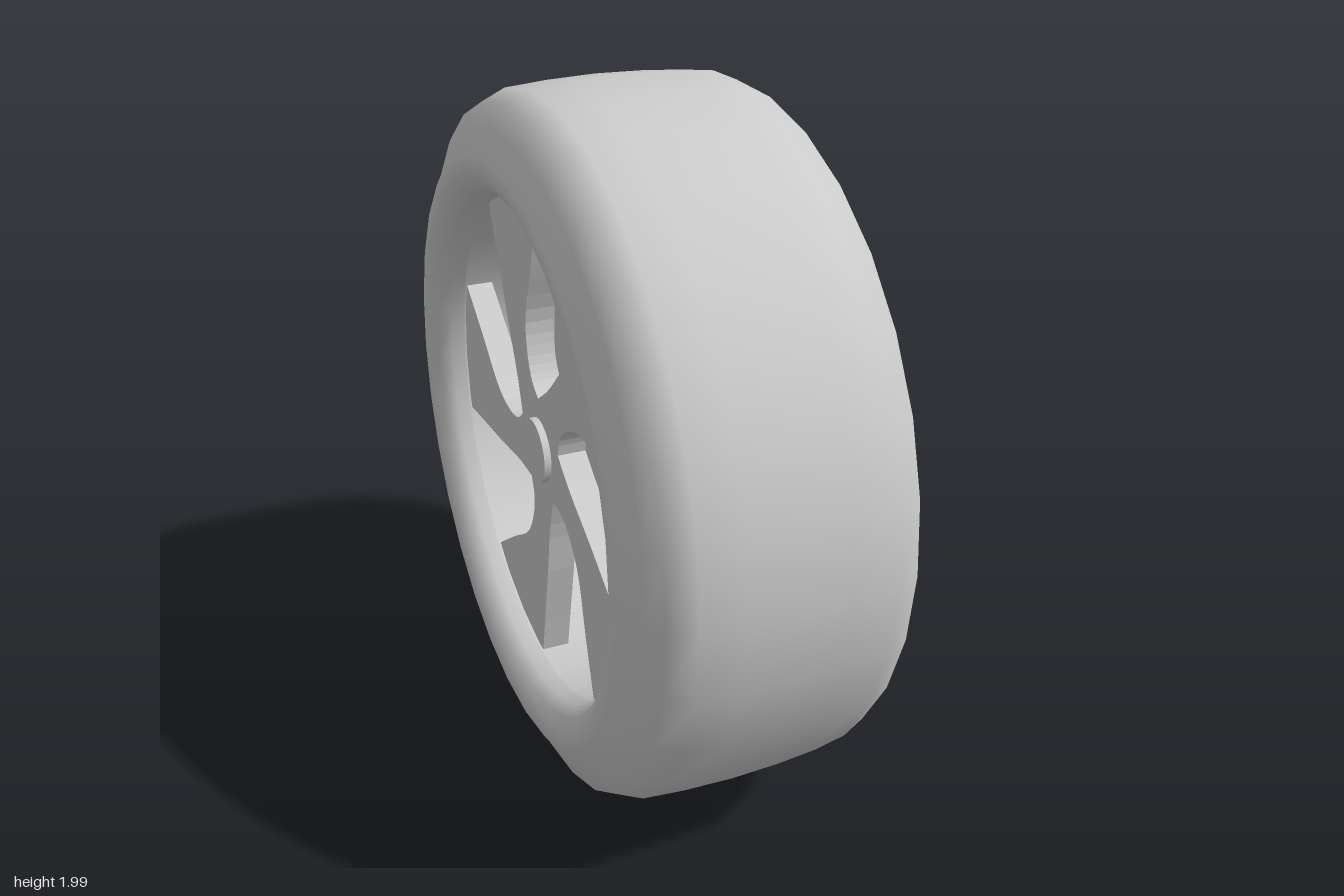
import * as THREE from 'three';

const SEGMENTS = 30;
const RIM = 0.71;

// Revolves [radius, x] points about the x axis.
function revolve(points, material, name) {
  const profile = points.map(([r, x]) => new THREE.Vector2(r, x));
  const geometry = new THREE.LatheGeometry(profile, SEGMENTS);
  geometry.rotateZ(-Math.PI / 2);
  const mesh = new THREE.Mesh(geometry, material);
  mesh.name = name;
  return mesh;
}

// Star outline: rim arcs joined by five swept windows that reach toward the hub.
function spokeShape(side) {
  const curved = new THREE.SplineCurve([
    [-0.03, 0.712], [0.03, 0.53], [0.088, 0.37], [0.085, 0.26], [0.053, 0.19], [0.005, 0.155],
  ].map(([u, v]) => new THREE.Vector2(u, v))).getPoints(16);
  const straight = new THREE.SplineCurve([
    [0.005, 0.155], [-0.09, 0.225], [-0.2, 0.33], [-0.33, 0.445], [-0.45, 0.553],
  ].map(([u, v]) => new THREE.Vector2(u, v))).getPoints(10).slice(1);
  const windowEdge = [...curved, ...straight];
  const origin = new THREE.Vector2();
  const start = Math.atan2(0.553, -0.45);
  const end = Math.atan2(0.712, -0.03) + Math.PI * 2 / 5;
  const outline = [];
  for (let k = 0; k < 5; k++) {
    const turn = k * Math.PI * 2 / 5;
    windowEdge.forEach(p => outline.push(p.clone().rotateAround(origin, turn)));
    for (let i = 1; i < 4; i++) {
      const a = turn + start + (end - start) * i / 4;
      outline.push(new THREE.Vector2(Math.cos(a), Math.sin(a)).multiplyScalar(RIM + 0.002));
    }
  }
  return new THREE.Shape(outline.map(p => new THREE.Vector2(p.x * side, p.y)));
}

export function createModel() {
  const wheel = new THREE.Group();
  wheel.name = 'wheel';
  const grey = new THREE.MeshStandardMaterial({ color: 0xcccccc });
  grey.name = 'light grey';
  const greyDouble = new THREE.MeshStandardMaterial({ color: 0xcccccc, side: THREE.DoubleSide });
  greyDouble.name = 'light grey';

  // Tyre: crowned tread, shoulders and bulging sidewalls
  const half = [
    [1, 0], [0.996, 0.14], [0.987, 0.26], [0.957, 0.328], [0.89, 0.355], [0.825, 0.398],
    [0.78, 0.398], [0.74, 0.375], [0.718, 0.34], [RIM, 0.29],
  ];
  const mirrored = half.slice(1).reverse().map(([r, x]) => [r, -x]);
  wheel.add(revolve([...mirrored, ...half], grey, 'tyre'));

  // Inside of the rim and the central web
  wheel.add(revolve([[RIM, 0.3], [RIM, -0.3]], grey, 'rimBarrel'));
  const web = new THREE.Mesh(new THREE.CircleGeometry(RIM, SEGMENTS), greyDouble);
  web.geometry.rotateY(Math.PI / 2);
  web.name = 'centreWeb';
  wheel.add(web);

  // Spoked face and hub cap on each side
  for (const side of [1, -1]) {
    const label = side > 0 ? 'left' : 'right';
    const depth = 0.08;
    const face = new THREE.ExtrudeGeometry(spokeShape(side), { depth, bevelEnabled: false });
    face.translate(0, 0, 0.295 - depth);
    face.rotateY(side * Math.PI / 2);
    const spokes = new THREE.Mesh(face, grey);
    spokes.name = label + 'Spokes';
    wheel.add(spokes);

    const capGeometry = new THREE.CylinderGeometry(0.093, 0.093, 0.06, 20);
    capGeometry.rotateZ(-Math.PI / 2);
    const cap = new THREE.Mesh(capGeometry, grey);
    cap.position.x = side * 0.285;
    cap.name = label + 'HubCap';
    wheel.add(cap);
  }

  // Rest the tyre just above the ground line
  wheel.children.forEach(part => { part.position.y += 1; });
  return wheel;
}
